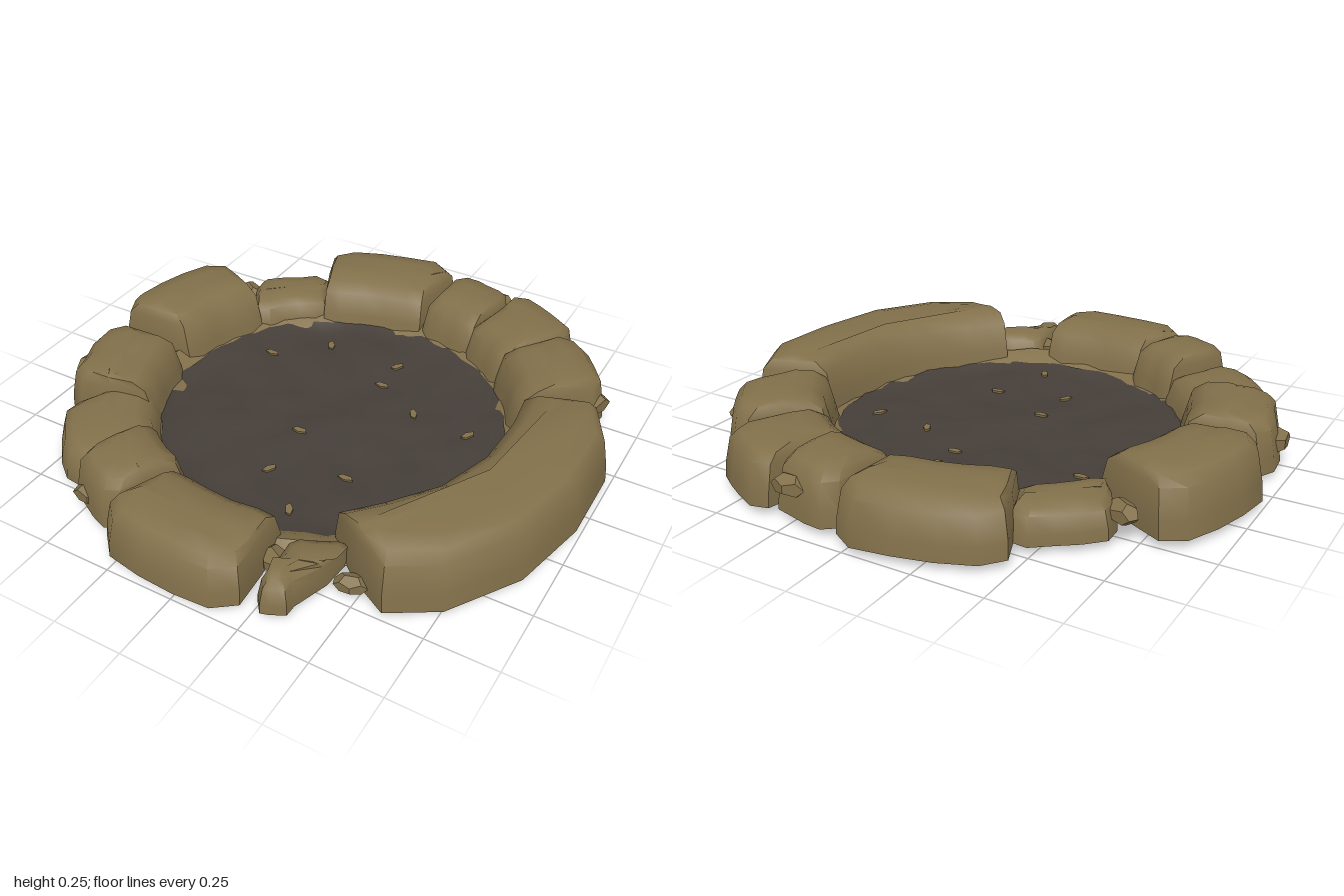
import * as THREE from 'three';
import { toCreasedNormals } from 'three/addons/utils/BufferGeometryUtils.js';

const stoneMat = new THREE.MeshStandardMaterial({ color: 0x82704a, side: THREE.DoubleSide });
stoneMat.name = 'brown stone';
const ashMat = new THREE.MeshStandardMaterial({ color: 0x453e39, side: THREE.DoubleSide });
ashMat.name = 'dark ash';

// Smooth repeatable unevenness in about -1..1
const bump = (x, z) =>
  0.5 * Math.sin(9 * x + 4 * z + 1) * Math.cos(8 * z - 3 * x) + 0.35 * Math.sin(17 * x - 6 * z) * Math.sin(15 * z + 2);

// Joins equal-length rings of points, with optional caps on the first and last ring
function loft(rings, capFirst, capLast, crease) {
  const n = rings[0].length, pos = rings.flat(2), idx = [];
  for (let k = 0; k < rings.length - 1; k++) {
    for (let i = 0; i < n; i++) {
      const j = (i + 1) % n, a = k * n + i, b = k * n + j;
      idx.push(a, b + n, b, a, a + n, b + n);
    }
  }
  const cap = (k, flip) => {
    const c = pos.length / 3;
    pos.push(...[0, 1, 2].map((m) => rings[k].reduce((s, p) => s + p[m], 0) / n));
    for (let i = 0; i < n; i++) {
      const a = k * n + i, b = k * n + (i + 1) % n;
      idx.push(...(flip ? [c, a, b] : [c, b, a]));
    }
  };
  if (capFirst) cap(0, true);
  if (capLast) cap(rings.length - 1, false);
  const g = new THREE.BufferGeometry();
  g.setAttribute('position', new THREE.Float32BufferAttribute(pos, 3));
  g.setIndex(idx);
  return toCreasedNormals(g, crease);
}

// A worn wedge of the ring, hollow below: clipped inner and outer arcs lofted upwards
function stoneGeometry(in0, in1, out0, out1, r0, r1, top) {
  const steps = [0, 0.15, 0.38, 0.62, 0.85, 1];
  const clip = (t) => Math.max(0, Math.abs(t - 0.5) - 0.35) / 0.15;
  const outline = [
    ...steps.map((t) => [t, 1, r1 - 0.04 * clip(t)]),
    [1, 0.5, (r0 + r1) / 2],
    ...[...steps].reverse().map((t) => [t, 0, r0 + 0.02 * clip(t)]),
    [0, 0.5, (r0 + r1) / 2],
  ];
  const base = 0.03, h = top - base, size = Math.min(1, (r1 - r0) / 0.35);
  // height fraction, then inset of the outer edge, inner edge and ends
  const levels = [[0, 0, 0, 0], [0.3, 0.006, 0.012, 0], [0.78, 0.025, 0.035, 0.01], [0.94, 0.055, 0.08, 0.025], [1, 0.12, 0.14, 0.055]];
  const rings = levels.map(([f, outIn, inIn, endIn]) => outline.map(([t, u, r]) => {
    const a0 = in0 + (out0 - in0) * u, a1 = in1 + (out1 - in1) * u;
    const half = THREE.MathUtils.degToRad(a1 - a0) / 2;
    const squeeze = Math.max(0.5, 1 - endIn / (half * r));
    const a = THREE.MathUtils.degToRad((a0 + a1) / 2) + (t - 0.5) * 2 * half * squeeze;
    const rough = 0.01 * bump(Math.cos(a) * 2, Math.sin(a) * 2);
    const rr = r + size * THREE.MathUtils.lerp(inIn, -outIn, u) + rough;
    const y = base + h * f + 0.5 * rough * f;
    return [Math.cos(a) * rr, y, Math.sin(a) * rr];
  }));
  return loft(rings, false, true, 0.8);
}

// Inner arc and outer arc in degrees (0 = +x, 90 = +z), inner and outer radius, top
const STONES = {
  longRightStone: [-22, 59, -21, 51, 0.63, 1, 0.25],
  frontRightSmallStone: [55, 71, 67, 74, 0.7, 0.97, 0.14],
  frontStone: [74, 110, 77, 110, 0.64, 1, 0.21],
  frontLeftStone: [110, 131, 110, 127, 0.62, 0.95, 0.22],
  leftFrontLowStone: [129, 156, 127, 149, 0.62, 0.98, 0.16],
  leftStone: [147, 176, 152, 176, 0.62, 0.97, 0.22],
  leftRearStone: [182, 214, 181, 212, 0.63, 1, 0.24],
  rearLeftLowStone: [213, 238, 217, 240, 0.64, 0.89, 0.15],
  backLeftStone: [237, 273, 240, 273, 0.62, 1, 0.22],
  backStone: [274, 295, 274, 291, 0.63, 0.97, 0.22],
  backRightStone: [293, 314, 290, 310, 0.63, 1.03, 0.21],
  rightRearStone: [312, 339, 311, 332, 0.63, 1, 0.235],
};

// Small broken pieces: x, y, z, size, turn
const CHIPS = [
  [0.48, 0.06, 0.71, 0.05, 0.3], [0.25, 0.13, -0.92, 0.06, 0], [-0.69, 0.1, -0.51, 0.06, -0.6],
  [-0.92, 0.1, 0.22, 0.07, 1.3], [0.81, 0.1, -0.48, 0.07, 0.9], [-0.47, 0.07, 0.79, 0.06, 0.2],
  [0.23, 0.07, 0.75, 0.06, -0.5], [0.68, 0.08, -0.32, 0.07, 0.6],
];

// Flecks of stone showing through the ash: x, z
const FLECKS = [
  [-0.42, -0.25], [-0.24, -0.41], [0.06, -0.41], [0.06, -0.28], [0.25, -0.17],
  [0.48, -0.15], [-0.06, 0.13], [0.13, 0.51], [-0.05, 0.35], [0.21, 0.27],
];

const circle = (n, f) => Array.from({ length: n }, (_, i) => f((i / n) * Math.PI * 2));
const ashTop = (x, z) => 0.038 + 0.014 * bump(x, z) + 0.007 * bump(2.3 * z, 2.3 * x);
const ashUnder = (x, z) => Math.max(0, 0.007 + 0.01 * bump(z, x));

export function createModel() {
  const group = new THREE.Group();
  const add = (name, geo, mat) => {
    const mesh = new THREE.Mesh(geo, mat);
    mesh.name = name;
    group.add(mesh);
    return mesh;
  };

  // Stones around the ring
  Object.entries(STONES).forEach(([name, spec]) => add(name, stoneGeometry(...spec), stoneMat));

  // Low uneven bank that joins the stones and meets the ash
  const bank = [[0.76, 0.04], [0.7, 0.085], [0.65, 0.065], [0.59, 0.025]].map(([r, y]) =>
    circle(64, (a) => {
      const x = Math.cos(a), z = Math.sin(a), s = r + 0.012 * bump(x, z);
      return [x * s, y + 0.01 * bump(2 * z, 2 * x), z * s];
    }));
  add('stoneBank', loft(bank, false, false, 1), stoneMat);

  // Ash bed with a bumpy top, ragged rim and shallow underside
  const ashRing = (r, height) => circle(72, (a) => {
    const rr = r * (1 + 0.012 * Math.sin(7 * a) + 0.012 * Math.sin(19 * a + 1));
    const x = Math.cos(a) * rr, z = Math.sin(a) * rr;
    return [x, height(x, z), z];
  });
  const radii = [0.05, 0.11, 0.17, 0.23, 0.29, 0.35, 0.41, 0.47, 0.53, 0.59];
  const ash = [
    ...radii.map((r) => ashRing(r, ashUnder)),
    ashRing(0.625, () => 0.03),
    ashRing(0.635, () => 0.055),
    ...[...radii].reverse().map((r) => ashRing(r, ashTop)),
  ];
  add('ashBed', loft(ash, true, true, 0.9), ashMat);

  // Broken chips beside the stones
  CHIPS.forEach(([x, y, z, size, turn], i) => {
    const mesh = add('stoneChip' + (i + 1), new THREE.DodecahedronGeometry(size), stoneMat);
    mesh.position.set(x, y, z);
    mesh.scale.set(1.2, 0.65, 0.75);
    mesh.rotation.y = turn;
  });

  // Thin flecks lying on the ash
  FLECKS.forEach(([x, z], i) => {
    const mesh = add('ashFleck' + (i + 1), new THREE.CylinderGeometry(1, 1, 0.008, 5), stoneMat);
    mesh.position.set(x, ashTop(x, z) + 0.004, z);
    mesh.scale.set(0.03, 1, 0.014);
    mesh.rotation.y = i * 2.1;
  });

  return group;
}
